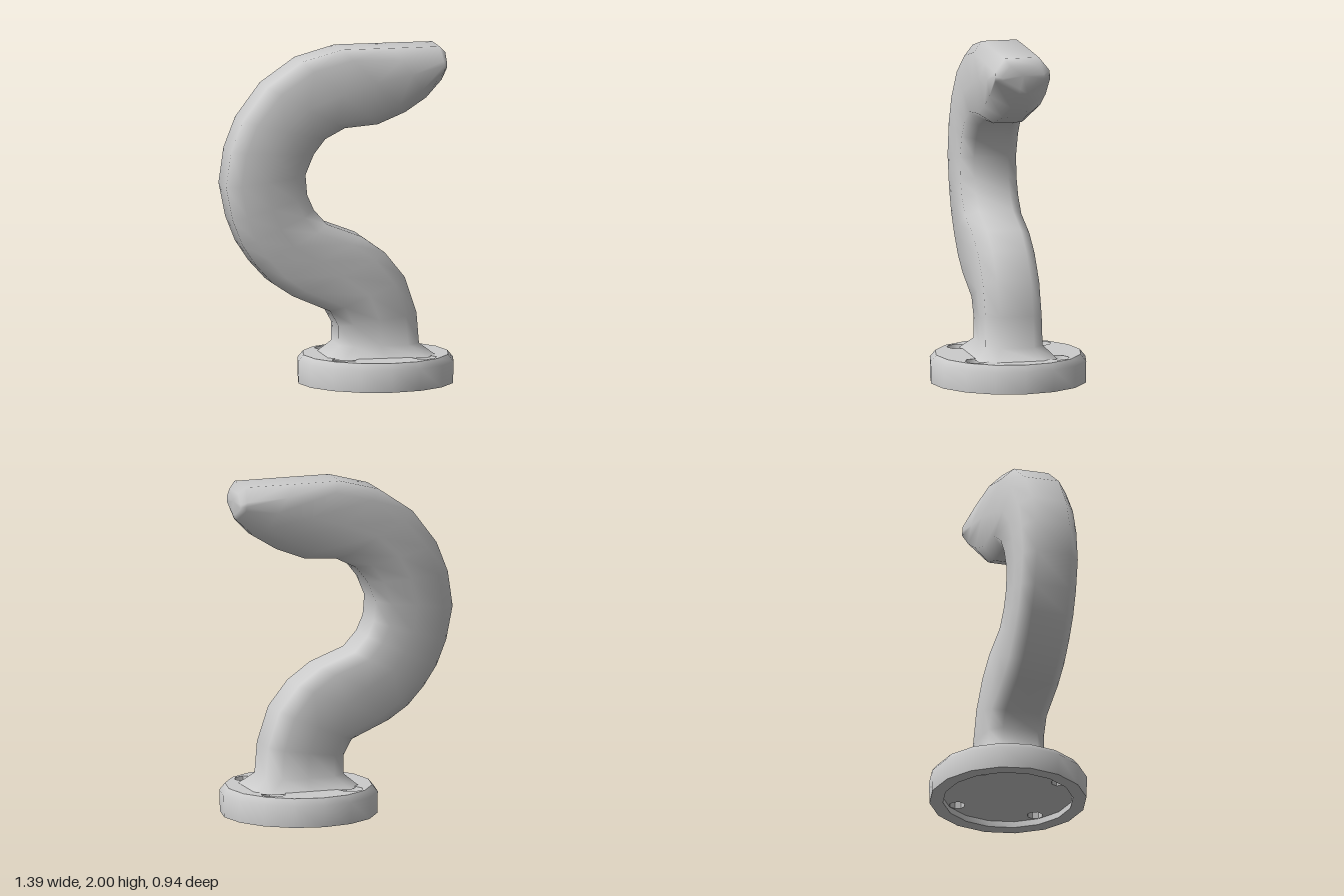
import * as THREE from 'three';
import { toCreasedNormals } from 'three/addons/utils/BufferGeometryUtils.js';

const material = new THREE.MeshStandardMaterial({ color: 0xcccccc });
const BASE_X = 0.225, SIDES = 16;
const HOLES = [[-0.24, -0.24], [0.24, -0.24], [-0.24, 0.24], [0.24, 0.24]];

function add(parent, name, geometry) {
  const mesh = new THREE.Mesh(geometry, material);
  mesh.name = name;
  parent.add(mesh);
  return mesh;
}

function circlePoints(cx, cy, r, n) {
  return Array.from({ length: n }, (_, i) => {
    const a = (i / n) * Math.PI * 2;
    return new THREE.Vector2(cx + r * Math.cos(a), cy + r * Math.sin(a));
  });
}

// Flat disc with four screw holes, from y0 to y1
function disc(radius, holeRadius, y0, y1) {
  const shape = new THREE.Shape(circlePoints(0, 0, radius, SIDES));
  for (const [x, z] of HOLES) shape.holes.push(new THREE.Path(circlePoints(x, z, holeRadius, 8)));
  const g = new THREE.ExtrudeGeometry(shape, { depth: y1 - y0, bevelEnabled: false });
  return g.rotateX(-Math.PI / 2).translate(0, y0, 0);
}

// Each station: outer x, y, inner x, y, half width, inner flat as a share of the width
const STATIONS = [
  [-0.10, 0.165, 0.56, 0.165, 0.24, 0.6],
  [-0.02, 0.235, 0.465, 0.235, 0.172, 0.6],
  [-0.02, 0.35, 0.45, 0.42, 0.17, 0.6],
  [-0.07, 0.44, 0.38, 0.63, 0.17, 0.6],
  [-0.30, 0.54, 0.26, 0.78, 0.17, 0.6],
  [-0.42, 0.62, 0.12, 0.88, 0.17, 0.6],
  [-0.52, 0.73, -0.09, 0.96, 0.17, 0.6],
  [-0.60, 0.85, -0.17, 1.05, 0.17, 0.6],
  [-0.66, 1.00, -0.21, 1.14, 0.17, 0.6],
  [-0.70, 1.20, -0.22, 1.26, 0.17, 0.6],
  [-0.67, 1.41, -0.17, 1.38, 0.17, 0.6],
  [-0.60, 1.59, -0.10, 1.47, 0.17, 0.6],
  [-0.45, 1.79, 0.02, 1.53, 0.17, 0.55],
  [-0.24, 1.935, 0.22, 1.545, 0.17, 0.5],
  [0.00, 2.00, 0.39, 1.61, 0.17, 0.4],
  [0.30, 2.00, 0.52, 1.69, 0.17, 0.3],
  [0.59, 2.00, 0.62, 1.79, 0.165, 0.15],
  [0.63, 1.96, 0.63, 1.82, 0.125, 0.15],
];

// Chamfered cross-sections swept through the stations
function armGeometry() {
  const pos = [], index = [], n = 10;
  for (const [ax, ay, bx, by, w, inner] of STATIONS) {
    const len = Math.hypot(bx - ax, by - ay), c = Math.min(0.08, 0.4 * len);
    const half = [[0, 0.62 * w], [c, w], [len / 2, w], [len - c, w], [len, inner * w]];
    const ring = [...half, ...half.slice().reverse().map(([d, z]) => [d, -z])];
    for (const [d, z] of ring) pos.push(ax + (bx - ax) * d / len, ay + (by - ay) * d / len, z);
  }
  const last = STATIONS.length - 1;
  for (let s = 0; s < last; s++) {
    for (let i = 0; i < n; i++) {
      const a = s * n + i, b = s * n + (i + 1) % n;
      index.push(a, b, a + n, b, b + n, a + n);
    }
  }
  // Tip cap
  const center = pos.length / 3;
  pos.push(0.632, 1.9, 0);
  for (let i = 0; i < n; i++) index.push(center, last * n + i, last * n + (i + 1) % n);
  const g = new THREE.BufferGeometry();
  g.setAttribute('position', new THREE.Float32BufferAttribute(pos, 3));
  g.setIndex(index);
  g.computeVertexNormals();
  return g;
}

export function createModel() {
  const model = new THREE.Group();
  model.name = 'wallHook';

  const base = new THREE.Group();
  base.name = 'mountingBase';
  base.position.x = BASE_X;
  model.add(base);

  // Outer rim with a chamfered top and a shallow recess underneath
  const profile = [[0.39, 0.04], [0.385, 0], [0.465, 0], [0.468, 0.13], [0.435, 0.17]]
    .map(([r, y]) => new THREE.Vector2(r, y));
  add(base, 'rim', toCreasedNormals(new THREE.LatheGeometry(profile, SIDES), 0.9));

  // Plate with through holes below and wider screw seats above
  add(base, 'lowerPlate', disc(0.43, 0.047, 0.04, 0.1));
  add(base, 'upperPlate', disc(0.435, 0.075, 0.1, 0.17));

  // Conical screw seats
  const seat = [[0.047, 0.1], [0.075, 0.168]].map(([r, y]) => new THREE.Vector2(r, y));
  for (const [x, z] of HOLES) {
    const g = new THREE.LatheGeometry(seat, 8);
    // Turn the cone to face inward
    const idx = g.index.array;
    for (let i = 0; i < idx.length; i += 3) [idx[i], idx[i + 1]] = [idx[i + 1], idx[i]];
    g.computeVertexNormals();
    add(base, 'screwSeat', g).position.set(x, 0, z);
  }

  add(model, 'hookArm', armGeometry());
  return model;
}
